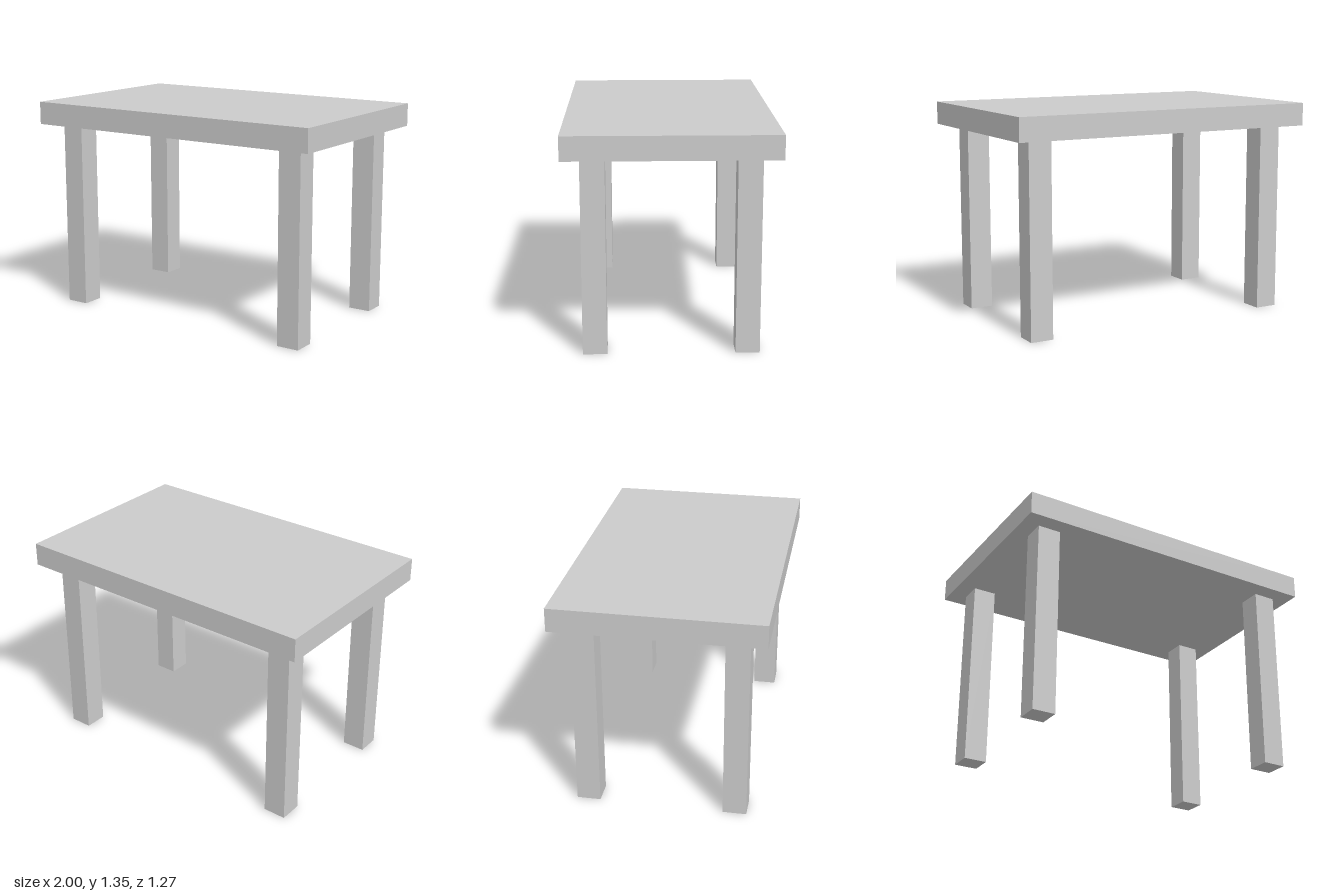
import * as THREE from 'three';

export function createModel() {
  const model = new THREE.Group();
  model.name = 'table';
  const material = new THREE.MeshStandardMaterial({ color: 0xcccccc });

  const legHeight = 1.2;
  const topThickness = 0.145;
  const legWidth = 0.145;

  const addBox = (name, size, position) => {
    const mesh = new THREE.Mesh(new THREE.BoxGeometry(...size), material);
    mesh.name = name;
    mesh.position.set(...position);
    model.add(mesh);
  };

  // Tabletop slab
  addBox('tabletop', [2, topThickness, 1.27], [0, legHeight + topThickness / 2, 0]);

  // Four square legs, inset from the corners
  for (const [side, x] of [['Left', 0.82], ['Right', -0.82]]) {
    for (const [end, z] of [['front', 0.455], ['back', -0.455]]) {
      addBox(`${end}${side}Leg`, [legWidth, legHeight, legWidth], [x, legHeight / 2, z]);
    }
  }

  return model;
}
